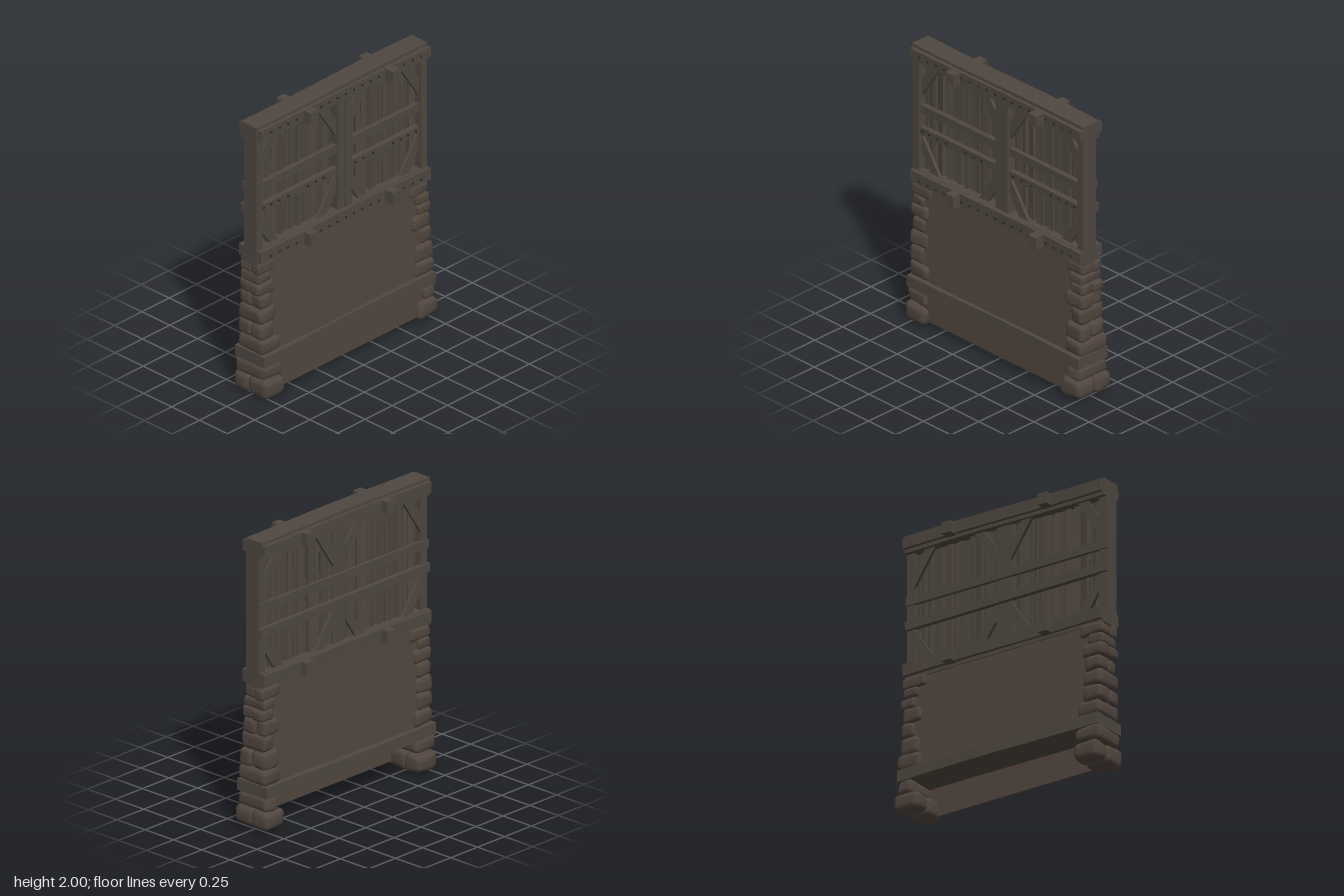
import * as THREE from 'three';
import { mergeVertices } from 'three/addons/utils/BufferGeometryUtils.js';
import { RoundedBoxGeometry } from 'three/addons/geometries/RoundedBoxGeometry.js';

export function createModel() {
  const root = new THREE.Group();
  root.name = 'wallSection';
  const mat = (name, color) => {
    const m = new THREE.MeshStandardMaterial({ color });
    m.name = name;
    return m;
  };
  const wood = mat('agedWood', 0x4f4740);
  const stone = mat('stone', 0x50453e);
  const plaster = mat('plaster', 0x52463f);
  const iron = mat('iron', 0x2c2826);

  let seed = 7;
  const rnd = () => (seed = (seed * 16807) % 2147483647) / 2147483647;
  const spread = (a) => (rnd() - 0.5) * 2 * a;

  const group = (name) => {
    const g = new THREE.Group();
    g.name = name;
    root.add(g);
    return g;
  };
  const add = (parent, name, geo, material) => {
    const m = new THREE.Mesh(geo, material);
    m.name = name;
    parent.add(m);
    return m;
  };
  // Box given by its limits on each axis
  const slab = (parent, name, x0, x1, y0, y1, z0, z1, material = wood, nx = 1) => {
    const m = add(parent, name, new THREE.BoxGeometry(x1 - x0, y1 - y0, z1 - z0, nx, 1, 1), material);
    m.position.set((x0 + x1) / 2, (y0 + y1) / 2, (z0 + z1) / 2);
    return m;
  };
  // Slight warp along a long timber
  const warp = (mesh, ay, az, phase) => {
    const p = mesh.geometry.attributes.position;
    for (let i = 0; i < p.count; i++) {
      const x = p.getX(i);
      p.setY(i, p.getY(i) + ay * Math.sin(x * 4 + phase));
      p.setZ(i, p.getZ(i) + az * Math.cos(x * 4 + phase));
    }
    mesh.geometry.computeVertexNormals();
    return mesh;
  };

  // Tapered lower wall, with a thin skirt under the sill at the front
  const lower = group('lowerWall');
  const wall = slab(lower, 'plasterWall', -0.77, 0.74, 0.26, 0.99, -0.1, 0.1, plaster);
  const wp = wall.geometry.attributes.position;
  for (let i = 0; i < wp.count; i++) if (wp.getY(i) > 0) wp.setZ(i, wp.getZ(i) * 0.6);
  wall.geometry.computeVertexNormals();
  slab(lower, 'frontSkirt', -0.77, 0.74, 0.04, 0.26, 0.095, 0.112, plaster);
  warp(slab(lower, 'sillBeam', -0.79, 0.78, 0.24, 0.32, -0.137, 0.127, wood, 6), 0.003, -0.006, 0);

  // Worn corner stones: [x0, x1, y0, y1, half depth, split into two]
  const stones = group('cornerStones');
  const makeStone = (x0, x1, y0, y1, z0, z1) => {
    const w = x1 - x0, h = y1 - y0, d = z1 - z0;
    let geo = new RoundedBoxGeometry(w, h, d, 2, Math.min(w, h, d) * 0.32);
    geo.deleteAttribute('normal');
    geo.deleteAttribute('uv');
    geo = mergeVertices(geo, 1e-4);
    const p = geo.attributes.position;
    const a = rnd() * 6, b = rnd() * 6;
    for (let i = 0; i < p.count; i++) {
      const x = p.getX(i), y = p.getY(i), z = p.getZ(i);
      p.setXYZ(i,
        x * (1 + 0.05 * Math.sin(y * 25 + z * 14 + a)),
        y * (1 + 0.1 * Math.sin(x * 18 + z * 12 + b)),
        z * (1 + 0.06 * Math.sin(x * 20 + y * 22 + a + b)));
    }
    geo.computeVertexNormals();
    const m = add(stones, 'cornerStone', geo, stone);
    m.position.set((x0 + x1) / 2, (y0 + y1) / 2, (z0 + z1) / 2);
    m.rotation.z = spread(0.04);
  };
  const courses = [
    [-0.8, -0.61, 0.005, 0.135, 0.152, 1], [-0.8, -0.61, 0.14, 0.245, 0.13, 0],
    [-0.795, -0.62, 0.32, 0.425, 0.118, 0], [-0.8, -0.665, 0.425, 0.54, 0.112, 1],
    [-0.8, -0.64, 0.535, 0.65, 0.105, 0], [-0.785, -0.67, 0.645, 0.75, 0.1, 1],
    [-0.805, -0.65, 0.745, 0.84, 0.095, 1], [-0.795, -0.68, 0.83, 0.905, 0.09, 0],
    [-0.8, -0.63, 0.9, 0.985, 0.085, 1],
    [0.62, 0.8, 0.02, 0.15, 0.15, 1], [0.67, 0.79, 0.145, 0.245, 0.13, 0],
    [0.62, 0.795, 0.32, 0.43, 0.12, 0], [0.63, 0.79, 0.42, 0.55, 0.113, 1],
    [0.67, 0.78, 0.545, 0.66, 0.106, 0], [0.61, 0.78, 0.655, 0.76, 0.1, 1],
    [0.66, 0.78, 0.755, 0.84, 0.095, 1], [0.65, 0.77, 0.835, 0.905, 0.09, 0],
    [0.6, 0.77, 0.9, 0.985, 0.085, 1],
  ];
  for (const [x0, x1, y0, y1, d, split] of courses) {
    if (split) {
      const s = spread(0.02);
      makeStone(x0, x1, y0, y1, s - 0.005, d);
      makeStone(x0 + spread(0.012), x1 + spread(0.02), y0, y1, -d, s + 0.005);
    } else makeStone(x0, x1, y0, y1, -d, d);
  }

  // Main timbers, facing boards and through pegs
  const frame = group('timberFrame');
  warp(slab(frame, 'topBeam', -0.8, 0.765, 1.875, 1.996, -0.068, 0.075, wood, 8), 0.003, 0.004, 1);
  slab(frame, 'bottomBeam', -0.8, 0.765, 0.975, 1.085, -0.068, 0.075);
  for (const [y0, y1] of [[1.9, 1.975], [1.0, 1.083]]) {
    warp(slab(frame, 'frontBoard', -0.79, 0.765, y0, y1, 0.06, 0.1, wood, 8), 0.002, 0.005, 2);
    warp(slab(frame, 'backBoard', -0.79, 0.765, y0, y1, -0.092, -0.05, wood, 8), 0.002, 0.005, 1);
    for (const x of [-0.365, 0.39])
      slab(frame, 'peg', x - 0.035, x + 0.035, y0 - 0.005, y1, -0.142, 0.163);
  }
  for (const [x0, x1] of [[-0.8, -0.742], [0.708, 0.765]])
    slab(frame, 'cornerPost', x0, x1, 1.07, 1.89, -0.042, 0.07);
  slab(frame, 'leftCentrePost', -0.048, 0.012, 1.07, 1.89, -0.035, 0.064);
  slab(frame, 'rightCentrePost', 0.015, 0.07, 1.07, 1.89, -0.035, 0.07);

  // Uneven upright planks
  const planks = group('planks');
  for (const [x0, x1] of [[-0.735, -0.045], [0.068, 0.71]]) {
    const n = 21, step = (x1 - x0) / n;
    for (let i = 0; i < n; i++) {
      const w = step * (0.9 + rnd() * 0.2);
      const m = add(planks, 'plank', new THREE.BoxGeometry(w, 0.82, 0.022), wood);
      m.position.set(x0 + step * (i + 0.5), 1.48, spread(0.013));
      m.rotation.set(spread(0.008), spread(0.25), spread(0.007));
    }
  }

  // Corner braces on both faces of each bay
  const braces = group('braces');
  const brace = (x, y, dx, dy, z) => {
    // Corner at (x, y); the brace cuts across it towards +dx, +dy
    const w = 0.08;
    const s = new THREE.Shape();
    s.moveTo(x, y + dy * 0.25);
    s.lineTo(x + dx * 0.165, y);
    s.lineTo(x + dx * (0.165 - w), y);
    s.lineTo(x, y + dy * (0.25 - w * 1.5));
    const m = add(braces, 'cornerBrace',
      new THREE.ExtrudeGeometry(s, { depth: 0.022, bevelEnabled: false }), wood);
    m.position.z = z;
  };
  for (const [x0, x1] of [[-0.742, -0.048], [0.07, 0.708]])
    for (const z of [0.024, -0.046])
      for (const [y, dy] of [[1.875, -1], [1.085, 1]]) {
        brace(x0, y, 1, dy, z);
        brace(x1, y, -1, dy, z);
      }

  // Cross rails
  const rails = group('rails');
  for (const [x0, x1] of [[-0.742, -0.048], [0.07, 0.708]]) {
    slab(rails, 'upperFrontRail', x0, x1, 1.502, 1.56, 0.02, 0.055).rotation.z = spread(0.006);
    slab(rails, 'lowerFrontRail', x0, x1, 1.342, 1.397, 0.02, 0.058).rotation.z = spread(0.006);
  }
  slab(rails, 'upperBackRail', -0.807, 0.768, 1.505, 1.562, -0.054, -0.03).rotation.z = 0.003;
  slab(rails, 'lowerBackRail', -0.807, 0.768, 1.335, 1.395, -0.064, -0.03).rotation.z = -0.003;

  // Nail heads on the front
  const nails = group('nails');
  const nailGeo = new THREE.CylinderGeometry(0.008, 0.009, 0.012, 8).rotateX(Math.PI / 2);
  const nail = (x, y, z) => add(nails, 'nail', nailGeo, iron).position.set(x, y, z);
  for (const y of [1.94, 1.03])
    for (let x = -0.7; x < 0.74; x += 0.0765)
      if (Math.abs(x + 0.365) > 0.045 && Math.abs(x - 0.39) > 0.045)
        nail(x, y, 0.1 + 0.005 * Math.cos(x * 4 + 2));
  for (const x of [-0.72, -0.655, -0.58, -0.5, -0.32, -0.245, -0.175, 0.115, 0.19, 0.28, 0.46, 0.53, 0.6, 0.67])
    nail(x, 1.372, 0.06);

  return root;
}
